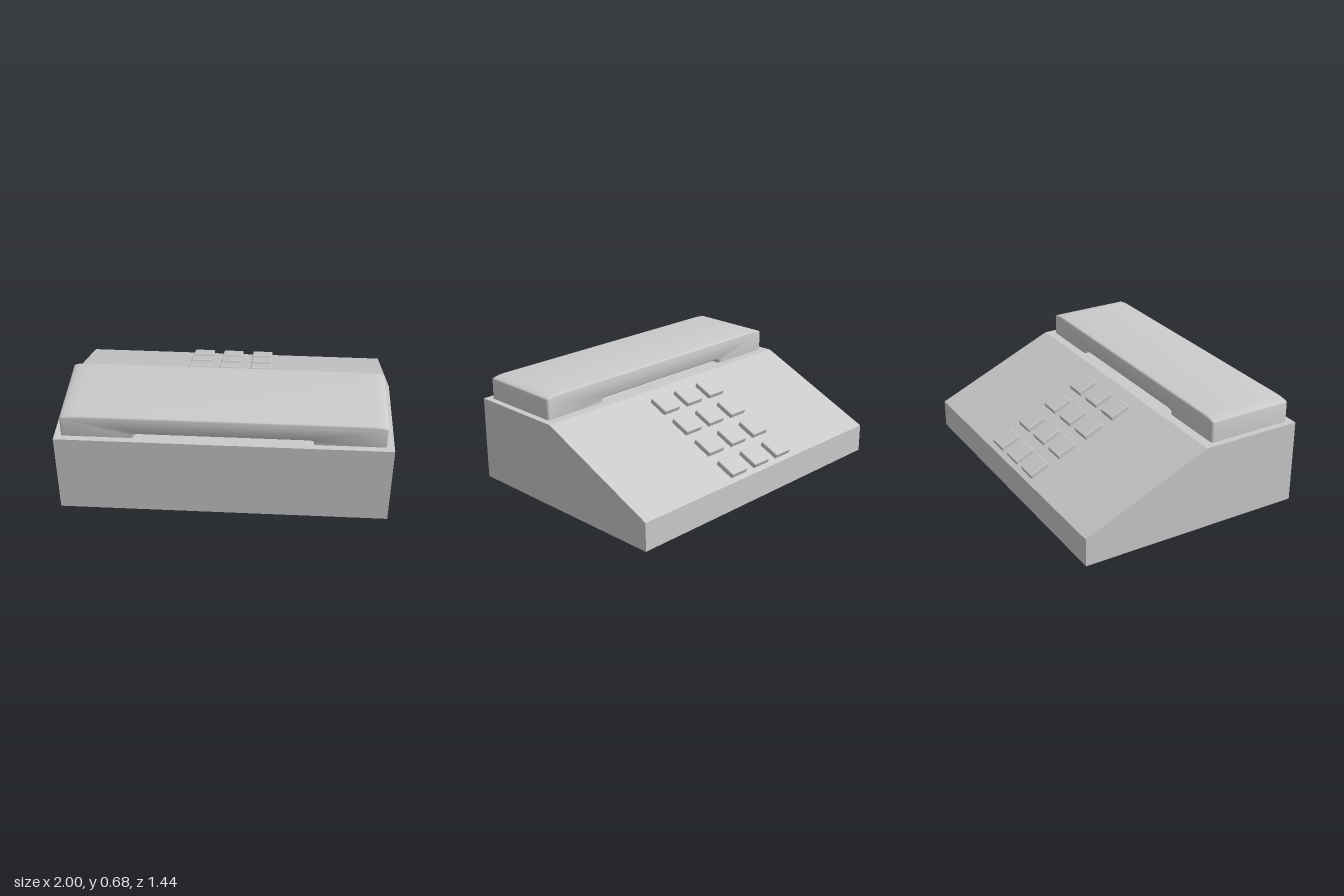
import * as THREE from 'three';
import { toCreasedNormals } from 'three/addons/utils/BufferGeometryUtils.js';
import { RoundedBoxGeometry } from 'three/addons/geometries/RoundedBoxGeometry.js';

const material = new THREE.MeshStandardMaterial({ color: 0xcccccc });

function part(name, geometry) {
  const mesh = new THREE.Mesh(geometry, material);
  mesh.name = name;
  return mesh;
}

// Wedge-shaped body: side profile in (z, y), extruded across the width
const TOP = { z: 0.08, y: 0.53 };
const LIP = { z: -0.72, y: 0.178 };
function createBase() {
  const profile = new THREE.Shape([
    [-0.72, 0], [0.72, 0], [0.72, TOP.y], [TOP.z, TOP.y], [LIP.z, LIP.y],
  ].map(([z, y]) => new THREE.Vector2(z, y)));
  const geometry = new THREE.ExtrudeGeometry(profile, { depth: 2, bevelEnabled: false });
  geometry.translate(0, 0, -1).rotateY(-Math.PI / 2);
  return part('base', geometry);
}

// Handset: bar with softened top corners and a shallow grip recess beneath
function createHandset() {
  const w = 0.96, top = 0.677, bottom = 0.5;
  const s = new THREE.Shape();
  s.moveTo(-w, bottom);
  s.lineTo(-0.53, bottom);
  s.lineTo(-0.53, 0.543);
  s.quadraticCurveTo(-0.525, 0.555, -0.49, 0.555);
  s.lineTo(0.49, 0.555);
  s.quadraticCurveTo(0.525, 0.555, 0.53, 0.543);
  s.lineTo(0.53, bottom);
  s.lineTo(w, bottom);
  s.lineTo(w, 0.655);
  s.quadraticCurveTo(w, 0.672, 0.87, top);
  s.lineTo(-0.87, top);
  s.quadraticCurveTo(-w, 0.672, -w, 0.655);
  s.closePath();

  const bevel = 0.014, back = 0.138, front = 0.682;
  const geometry = new THREE.ExtrudeGeometry(s, {
    depth: front - back - 2 * bevel,
    bevelThickness: bevel, bevelSize: bevel, bevelOffset: -bevel,
    bevelSegments: 4, curveSegments: 8,
  });
  geometry.translate(0, 0, back + bevel);
  return part('handset', toCreasedNormals(geometry, 0.6));
}

// Keypad: 4 rows of 3 keys lying on the sloped face
function createKeypad() {
  const keypad = new THREE.Group();
  keypad.name = 'keypad';
  const rise = (TOP.y - LIP.y) / (TOP.z - LIP.z);
  const keyGeometry = new RoundedBoxGeometry(0.135, 0.06, 0.135, 2, 0.007);
  for (let row = 0; row < 4; row++) {
    for (let col = 0; col < 3; col++) {
      const z = -0.062 - row * 0.188;
      const key = part(`key${row * 3 + col + 1}`, keyGeometry);
      key.position.set(-0.012 + (col - 1) * 0.203, TOP.y + (z - TOP.z) * rise, z);
      key.rotation.x = -Math.atan(rise);
      keypad.add(key);
    }
  }
  return keypad;
}

export function createModel() {
  const phone = new THREE.Group();
  phone.name = 'deskPhone';
  phone.add(createBase(), createHandset(), createKeypad());
  return phone;
}
